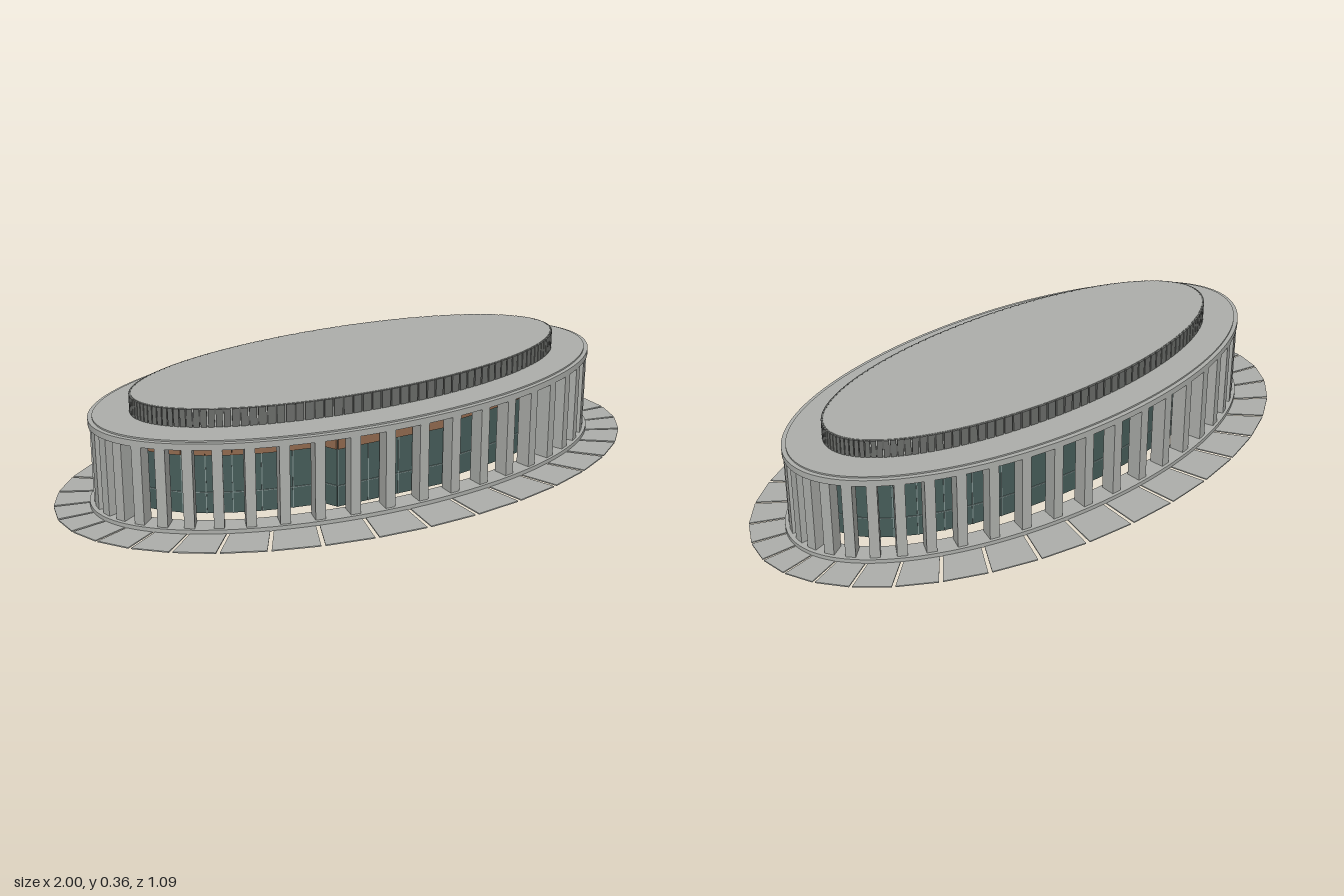
import * as THREE from 'three';

const mat = (name, color) => {
  const m = new THREE.MeshStandardMaterial({ color });
  m.name = name;
  return m;
};

export function createModel() {
  const model = new THREE.Group();
  const concrete = mat('concrete', 0xadafab);
  const slatGrey = mat('slat grey', 0x6a6c69);
  const glass = mat('teal glass', 0x465c59);
  const frame = mat('window frame', 0x7f918f);
  const timber = mat('timber band', 0x90694e);

  const add = (name, geo, material, parent = model) => {
    const mesh = new THREE.Mesh(geo, material);
    mesh.name = name;
    parent.add(mesh);
    return mesh;
  };
  const group = (name) => {
    const g = new THREE.Group();
    g.name = name;
    model.add(g);
    return g;
  };

  // Plan outline raised from height y0 to y1
  const raise = (name, shape, y0, y1, material, parent) => {
    const geo = new THREE.ExtrudeGeometry(shape, { depth: y1 - y0, bevelEnabled: false, curveSegments: 96 });
    geo.rotateX(-Math.PI / 2).translate(0, y0, 0);
    return add(name, geo, material, parent);
  };

  // Elliptical slab, optionally with a hole [hx, hz]
  const slab = (name, rx, rz, y0, y1, material, hole) => {
    const shape = new THREE.Shape().absellipse(0, 0, rx, rz, 0, Math.PI * 2);
    if (hole) shape.holes.push(new THREE.Path().absellipse(0, 0, hole[0], hole[1], 0, Math.PI * 2, true));
    return raise(name, shape, y0, y1, material);
  };

  // Box standing on an ellipse, its depth along the outward normal
  const onEllipse = (name, t, rx, rz, size, y, material, parent) => {
    const mesh = add(name, new THREE.BoxGeometry(...size), material, parent);
    mesh.position.set(rx * Math.cos(t), y, rz * Math.sin(t));
    mesh.rotation.y = Math.atan2(rz * Math.cos(t), rx * Math.sin(t));
  };

  // Upright panel between two plan points (x, z), moved outward by out
  const panel = (name, a, b, y0, y1, thick, out, material, parent) => {
    const geo = new THREE.BoxGeometry(a.distanceTo(b), y1 - y0, thick).translate(0, 0, -out);
    const mesh = add(name, geo, material, parent);
    mesh.position.set((a.x + b.x) / 2, (y0 + y1) / 2, (a.y + b.y) / 2);
    mesh.rotation.y = Math.atan2(a.y - b.y, b.x - a.x);
  };

  // Paving: 36 wedge slabs with narrow joints
  const paving = group('paving');
  const joint = 0.007;
  for (let i = 0; i < 36; i++) {
    const t0 = (i / 36) * Math.PI * 2 + joint;
    const t1 = ((i + 1) / 36) * Math.PI * 2 - joint;
    const p = (rx, rz, t) => new THREE.Vector2(rx * Math.cos(t), rz * Math.sin(t));
    const shape = new THREE.Shape([p(0.86, 0.39, t0), p(1, 0.547, t0), p(1, 0.547, t1), p(0.86, 0.39, t1)]);
    raise('pavingSlab', shape, 0, 0.004, concrete, paving);
  }

  // Base ring, open in the middle
  slab('baseRing', 0.887, 0.415, 0.002, 0.017, concrete, [0.81, 0.345]);

  // Colonnade of fins, one on each end of the long axis
  const columns = group('columns');
  const count = 46;
  for (let i = 0; i < count; i++) {
    const t = (i / count) * Math.PI * 2;
    onEllipse('column', t, 0.848, 0.379, [0.032, 0.262, 0.05], 0.147, concrete, columns);
  }

  // Curtain wall outline: an ellipse with a flat entrance bay on the front
  const outline = [];
  const bay = [0.235, 0.21, 0.105, 0, -0.105, -0.21, -0.235];
  const bayZ = 0.338, rx = 0.765, rz = 0.315;
  const wallZ = (x) => rz * Math.sqrt(1 - (x / rx) ** 2);
  const bayAngle = Math.acos(bay[0] / rx);
  const steps = 40;
  for (let i = 1; i < steps; i++) {
    const t = Math.PI - bayAngle + (i / steps) * (Math.PI + 2 * bayAngle);
    outline.push(new THREE.Vector2(rx * Math.cos(t), rz * Math.sin(t)));
  }
  for (const x of bay) outline.push(new THREE.Vector2(x, Math.abs(x) > 0.22 ? wallZ(x) : bayZ));

  // Tall glazing, with frames and a timber band on its outer face
  const wall = group('curtainWall');
  outline.forEach((a, i) => {
    const b = outline[(i + 1) % outline.length];
    panel('glassPanel', a, b, 0.026, 0.266, 0.006, 0, glass, wall);
    panel('timberPanel', a, b, 0.222, 0.267, 0.006, 0.005, timber, wall);
    panel('transom', a, b, 0.095, 0.098, 0.003, 0.004, frame, wall);
    const mullion = add('mullion', new THREE.BoxGeometry(0.003, 0.196, 0.003).translate(0, 0, 0.004), frame, wall);
    mullion.position.set(a.x, 0.124, a.y);
    mullion.rotation.y = Math.atan2(a.x / rx ** 2, a.y / rz ** 2);
  });

  // Roof slab with a small raised lip
  slab('roofSlab', 0.879, 0.405, 0.277, 0.298, concrete);
  slab('roofLip', 0.865, 0.39, 0.298, 0.303, concrete);

  // Upper drum clad in vertical slats
  slab('drum', 0.74, 0.281, 0.303, 0.362, concrete);
  const slats = group('drumSlats');
  for (let i = 0; i < 144; i++) {
    const t = ((i + 0.5) / 144) * Math.PI * 2;
    const width = 0.85 * Math.hypot(0.74 * Math.sin(t), 0.281 * Math.cos(t)) * (Math.PI * 2 / 144);
    onEllipse('drumSlat', t, 0.742, 0.283, [width, 0.058, 0.01], 0.332, slatGrey, slats);
  }

  return model;
}
